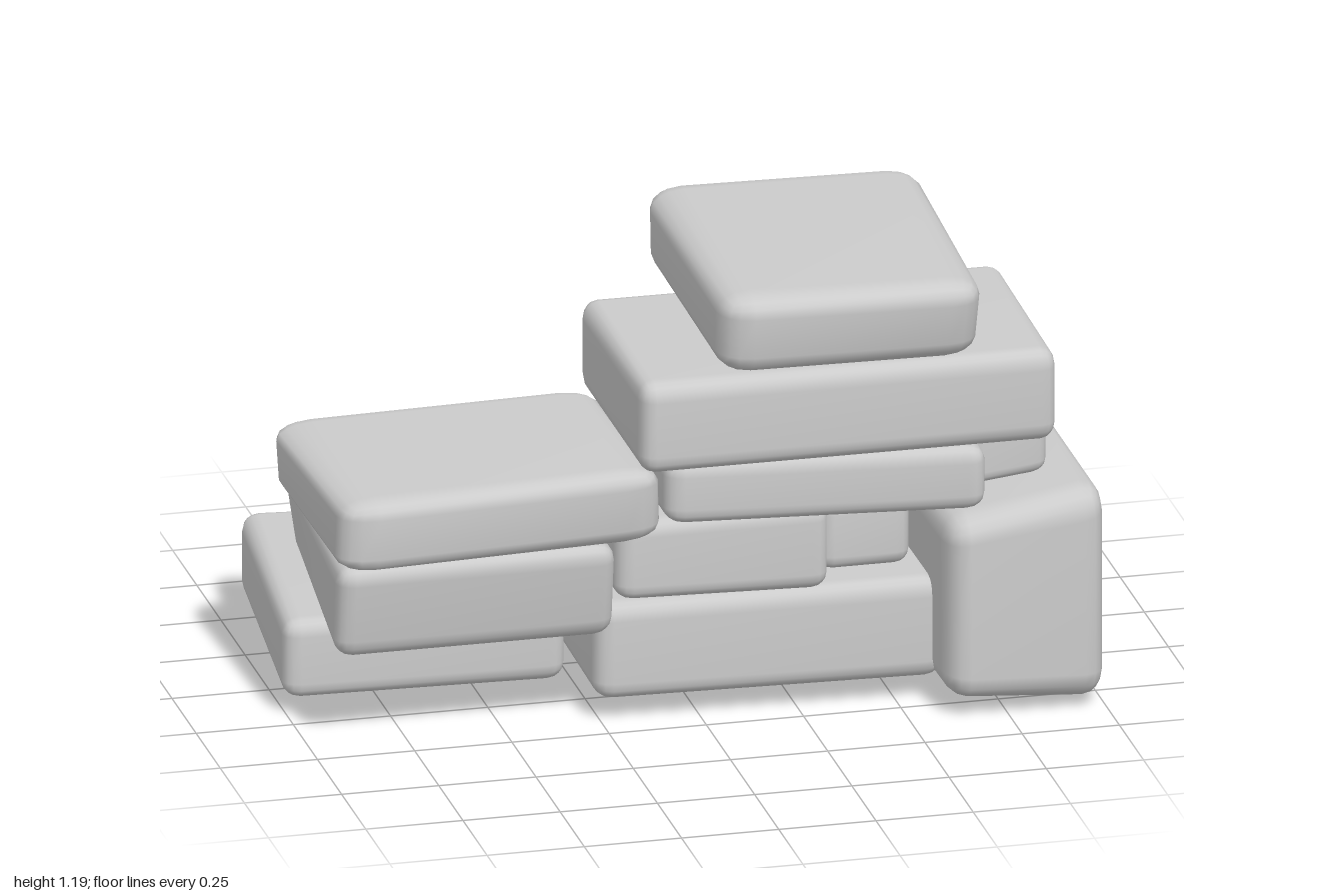
import * as THREE from 'three';
import { RoundedBoxGeometry } from 'three/addons/geometries/RoundedBoxGeometry.js';
import { mergeVertices } from 'three/addons/utils/BufferGeometryUtils.js';

const material = new THREE.MeshStandardMaterial({ color: 0xcccccc });

// A worn block: a rounded box warped to four upright edges, listed as
// front left (-x), front right, back right, back left.
// Each edge is [x, z, bottom y, top y, bottom shift in x, bottom shift in z].
// The bevel is the width of the rounding along x, y and z.
function stone(name, bevel, edges) {
  const size = (lo, hi) => Math.max(...edges.map(e => e[hi])) - Math.min(...edges.map(e => e[lo]));
  const w = size(0, 0) / bevel[0], h = size(2, 3) / bevel[1], d = size(1, 1) / bevel[2];
  let geo = new RoundedBoxGeometry(w, h, d, 2, 1);
  geo.deleteAttribute('uv');
  geo.deleteAttribute('normal');
  geo = mergeVertices(geo, 1e-4);
  const p = geo.attributes.position;
  for (let i = 0; i < p.count; i++) {
    const u = p.getX(i) / w + 0.5, v = p.getY(i) / h + 0.5, t = p.getZ(i) / d + 0.5;
    const weights = [(1 - u) * t, u * t, u * (1 - t), (1 - u) * (1 - t)];
    let x = 0, y = 0, z = 0;
    edges.forEach(([ex, ez, y0, y1, dx = 0, dz = 0], k) => {
      x += weights[k] * (ex + dx * (1 - v));
      y += weights[k] * (y0 + (y1 - y0) * v);
      z += weights[k] * (ez + dz * (1 - v));
    });
    p.setXYZ(i, x, y, z);
  }
  geo.computeVertexNormals();
  const mesh = new THREE.Mesh(geo, material);
  mesh.name = name;
  return mesh;
}

export function createModel() {
  const group = new THREE.Group();
  group.name = 'stackedStones';
  group.add(
    // cap and upper course
    stone('capStone', [0.09, 0.055, 0.09], [
      [0, 0.68, 0.98, 1.195, 0, -0.02], [0.67, 0.72, 0.98, 1.195, -0.01, -0.04],
      [0.71, -0.18, 0.98, 1.195, -0.02, 0.02], [0.01, -0.21, 0.98, 1.195, 0, 0.02]]),
    stone('upperStone', [0.04, 0.05, 0.05], [
      [-0.20, 0.64, 0.73, 0.975], [0.87, 0.645, 0.73, 0.975],
      [0.88, -0.01, 0.73, 0.975], [-0.20, -0.02, 0.73, 0.975]]),

    // middle course
    stone('middleStone', [0.05, 0.045, 0.045], [
      [-0.11, 0.53, 0.55, 0.72], [0.69, 0.64, 0.56, 0.73],
      [0.71, -0.11, 0.56, 0.73], [-0.11, -0.12, 0.55, 0.72]]),
    stone('middleEndStone', [0.04, 0.035, 0.035], [
      [0.68, 0.47, 0.56, 0.73], [0.89, 0.46, 0.58, 0.74],
      [0.89, -0.09, 0.56, 0.74], [0.70, -0.09, 0.56, 0.74]]),
    stone('sideSlab', [0.1, 0.05, 0.07], [
      [-0.96, 0.62, 0.52, 0.71, -0.01, 0], [-0.14, 0.63, 0.54, 0.74, 0.01, -0.02],
      [-0.16, -0.02, 0.54, 0.74, 0, 0.02], [-0.99, -0.06, 0.53, 0.71, 0.01, 0.02]]),

    // lower middle course
    stone('innerStone', [0.045, 0.045, 0.045], [
      [-0.22, 0.46, 0.33, 0.54], [0.32, 0.50, 0.33, 0.56],
      [0.32, -0.08, 0.33, 0.56], [-0.22, -0.09, 0.33, 0.55]]),
    stone('smallStone', [0.04, 0.04, 0.05], [
      [0.32, 0.38, 0.33, 0.52], [0.56, 0.38, 0.33, 0.52],
      [0.56, -0.13, 0.33, 0.52], [0.32, -0.13, 0.33, 0.52]]),
    stone('sideMiddleStone', [0.05, 0.05, 0.05], [
      [-0.95, 0.52, 0.25, 0.505, 0, -0.04], [-0.23, 0.52, 0.25, 0.505, 0, -0.04],
      [-0.22, -0.24, 0.25, 0.505, 0, 0], [-0.90, -0.29, 0.25, 0.505, 0.04, 0.01]]),

    // base course
    stone('endBoulder', [0.06, 0.08, 0.09], [
      [0.59, 0.64, 0.05, 0.53], [1.0, 0.645, 0.02, 0.60],
      [1.0, -0.01, 0.02, 0.60], [0.58, 0, 0.05, 0.53]]),
    stone('baseStone', [0.05, 0.05, 0.05], [
      [-0.27, 0.44, 0.06, 0.32], [0.62, 0.48, 0.06, 0.33],
      [0.65, -0.19, 0.06, 0.33], [-0.26, -0.19, 0.06, 0.32]]),
    stone('backStone', [0.08, 0.065, 0.11], [
      [-0.27, -0.16, -0.01, 0.22], [0.43, -0.16, -0.01, 0.22],
      [0.42, -0.71, 0.05, 0.28], [-0.27, -0.67, 0.05, 0.28]]),
    stone('sideBaseStone', [0.05, 0.045, 0.045], [
      [-1.01, 0.19, 0.04, 0.25], [-0.29, 0.22, 0.04, 0.26],
      [-0.24, -0.51, 0.04, 0.26], [-0.93, -0.59, 0.04, 0.26]])
  );
  return group;
}
